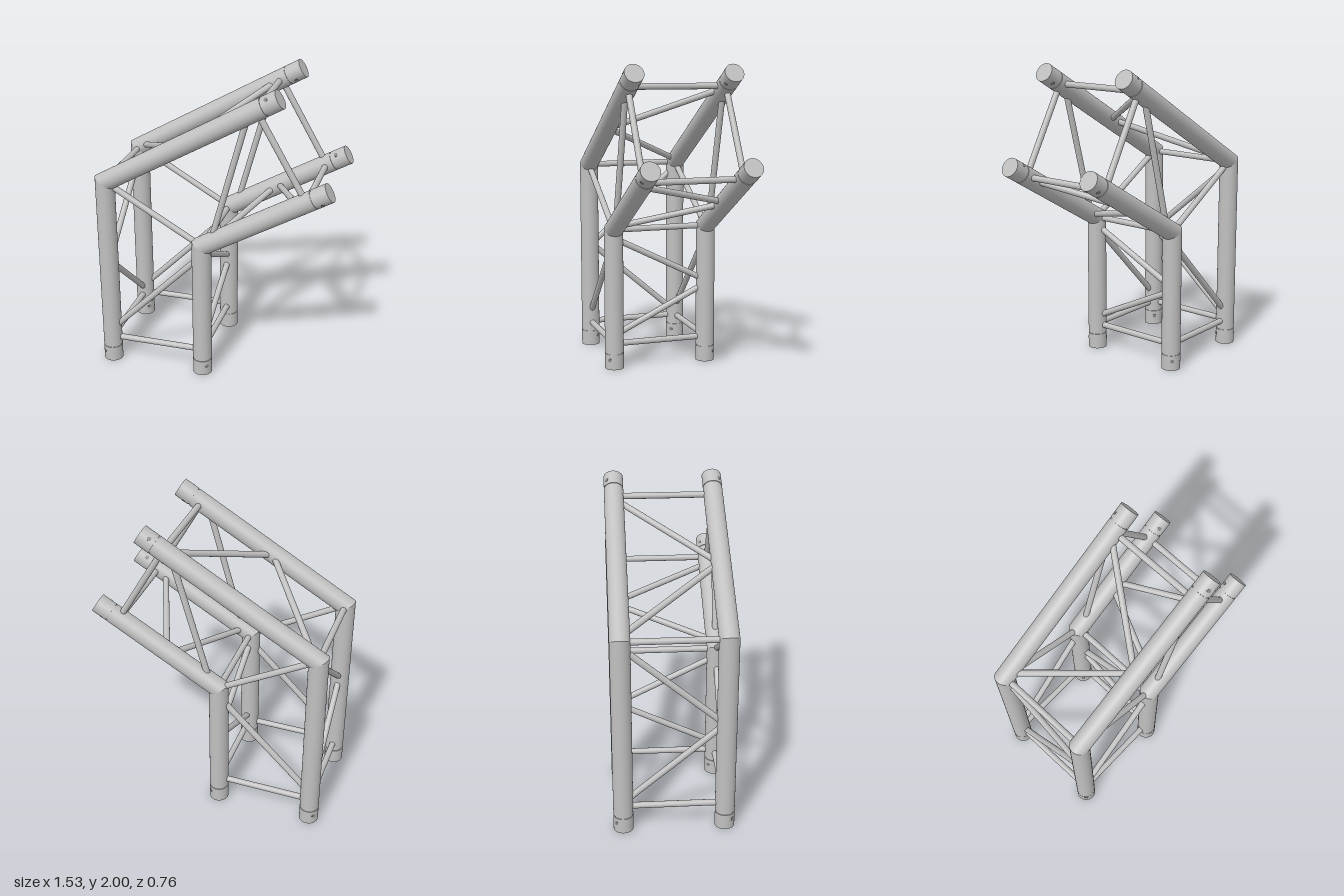
import * as THREE from 'three';

const R = 0.0625;          // main chord radius
const BRACE_R = 0.02;
const Z = 0.32;            // chord offset from the centre plane
const COLLAR = 0.103;      // end collar length
const GROOVE = 0.006;
const ANGLE = THREE.MathUtils.degToRad(30);
const DIR = new THREE.Vector3(Math.cos(ANGLE), Math.sin(ANGLE), 0);

// outer and inner chords: leg position, length to the mitre, free end of the arm
const chords = {
  outer: { x: -0.705, length: 1.298, out: -1 },
  inner: { x: -0.07, length: 0.93, out: 1 },
};
for (const c of Object.values(chords)) {
  c.end = new THREE.Vector3(c.x, c.length, 0).addScaledVector(DIR, c.length);
}

export function createModel() {
  const model = new THREE.Group();
  const metal = new THREE.MeshStandardMaterial({ color: 0xc0c0c0 });
  metal.name = 'aluminium grey';
  const dark = new THREE.MeshStandardMaterial({ color: 0x858585 });
  dark.name = 'hole grey';

  const add = (parent, name, geometry, material = metal) => {
    const mesh = new THREE.Mesh(geometry, material);
    mesh.name = name;
    parent.add(mesh);
    return mesh;
  };

  // point on a chord axis at distance s from its free end
  const point = (chord, half, s, z) => {
    const c = chords[chord];
    const p = half === 'leg' ? new THREE.Vector3(c.x, s, 0) : c.end.clone().addScaledVector(DIR, -s);
    return p.setZ(z);
  };

  const brace = (name, a, b) => {
    const d = b.clone().sub(a);
    const mesh = add(model, name, new THREE.CylinderGeometry(BRACE_R, BRACE_R, d.length(), 20, 1, true));
    mesh.position.copy(a).add(b).multiplyScalar(0.5);
    mesh.quaternion.setFromUnitVectors(new THREE.Vector3(0, 1, 0), d.normalize());
  };

  // cylinder standing between two heights
  const tube = (r, y0, y1) =>
    new THREE.CylinderGeometry(r, r, y1 - y0, 48).translate(0, (y0 + y1) / 2, 0);

  // chord with collar, groove, cross hole and a mitred far end
  const chordTube = (chord, half, side) => {
    const c = chords[chord];
    const flip = half === 'leg' ? 1 : -1;
    const group = new THREE.Group();
    group.name = `${chord}${half === 'leg' ? 'Leg' : 'Arm'}`;
    add(group, 'endCollar', tube(R, 0, COLLAR));
    add(group, 'collarGroove', tube(R - 0.004, COLLAR, COLLAR + GROOVE));

    const main = tube(R, COLLAR + GROOVE, c.length);
    const pos = main.attributes.position;
    for (let i = 0; i < pos.count; i++) {
      if (pos.getY(i) > c.length - 0.01) {
        pos.setY(i, c.length - flip * pos.getX(i) * Math.tan(ANGLE));
      }
    }
    add(group, 'mainTube', main);

    const hole = add(group, 'pinHole', new THREE.CylinderGeometry(0.013, 0.013, 2 * R + 0.001, 20), dark);
    hole.position.y = 0.065;
    hole.quaternion.setFromUnitVectors(
      new THREE.Vector3(0, 1, 0),
      new THREE.Vector3(c.out * flip, 0, side).normalize());

    group.position.copy(point(chord, half, 0, side * Z));
    if (half === 'arm') group.rotation.z = Math.PI / 2 + ANGLE;
    model.add(group);
  };

  for (const half of ['leg', 'arm']) {
    for (const side of [-1, 1]) {
      const z = side * Z;
      chordTube('outer', half, side);
      chordTube('inner', half, side);
      // side lattice
      brace('sideEndBrace', point('outer', half, 0.165, z), point('inner', half, 0.165, z));
      brace('sideDiagonal', point('outer', half, 0.22, z), point('inner', half, 0.86, z));
    }
    // lattice across the depth: [chord, distance at front, distance at back]
    const across = [
      ['outer', 0.165, 0.165], ['inner', 0.165, 0.165],
      ['outer', 0.74, 0.188], ['outer', 0.72, 1.265],
      ['inner', 0.22, 0.53], ['inner', 0.875, 0.555],
    ];
    for (const [chord, front, back] of across) {
      brace(front === back ? 'crossBrace' : 'crossDiagonal',
        point(chord, half, front, Z), point(chord, half, back, -Z));
    }
  }

  // braces in the mitre plane
  const corner = (chord, z) => point(chord, 'leg', chords[chord].length, z);
  for (const z of [-Z, Z]) brace('cornerBrace', corner('outer', z), corner('inner', z));
  for (const chord of ['outer', 'inner']) {
    brace('cornerCrossBrace', corner(chord, Z), corner(chord, -Z));
  }
  return model;
}
